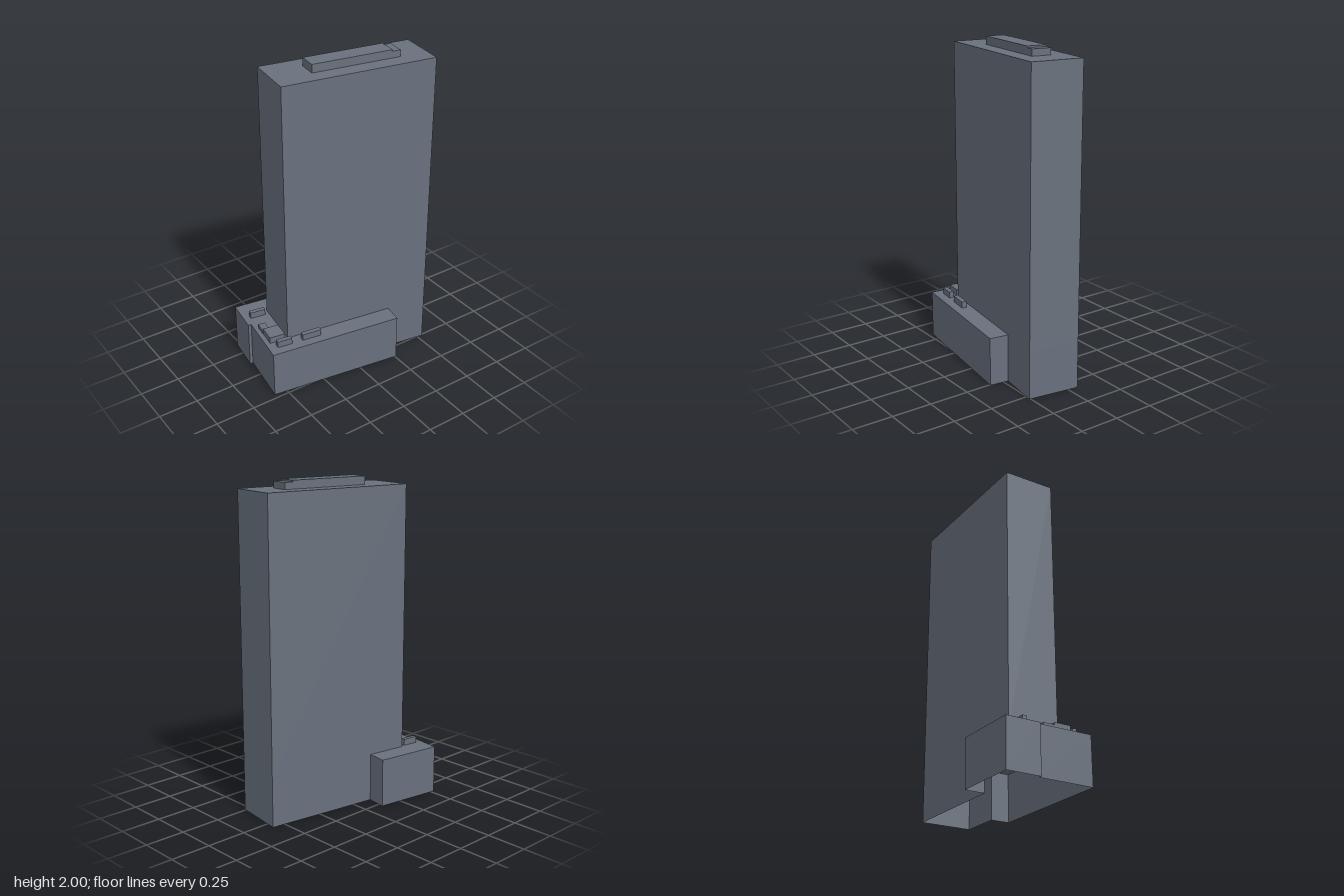
import * as THREE from 'three';

const material = new THREE.MeshStandardMaterial({
  color: 0x69717d, flatShading: true, side: THREE.DoubleSide,
});

// Corners of a rectangle, anticlockwise seen from above
const rect = (x0, x1, z0, z1) => [[x0, z0], [x0, z1], [x1, z1], [x1, z0]];

// Vertical walls along a closed outline of [x, z] corners
function walls(name, outline, y0, y1) {
  const positions = [];
  outline.forEach(([ax, az], i) => {
    const [bx, bz] = outline[(i + 1) % outline.length];
    positions.push(ax, y0, az, bx, y0, bz, bx, y1, bz, ax, y0, az, bx, y1, bz, ax, y1, az);
  });
  const geometry = new THREE.BufferGeometry();
  geometry.setAttribute('position', new THREE.Float32BufferAttribute(positions, 3));
  geometry.computeVertexNormals();
  const mesh = new THREE.Mesh(geometry, material);
  mesh.name = name;
  return mesh;
}

// Flat roof filling an outline
function roof(name, outline, y) {
  const shape = new THREE.Shape(outline.map(([x, z]) => new THREE.Vector2(x, -z)));
  const geometry = new THREE.ShapeGeometry(shape).rotateX(-Math.PI / 2).translate(0, y, 0);
  const mesh = new THREE.Mesh(geometry, material);
  mesh.name = name;
  return mesh;
}

// Walls plus roof, open underneath
function block(name, outline, y0, y1) {
  const group = new THREE.Group();
  group.name = name;
  group.add(walls(name + 'Walls', outline, y0, y1), roof(name + 'Roof', outline, y1));
  return group;
}

export function createModel() {
  const model = new THREE.Group();
  model.name = 'officeTower';
  const podiumTop = 0.3, towerTop = 1.95;

  // Podium edge wrapping round the left rear of the tower
  const frontEdge = [[-0.545, 0.299], [0.302, 0.299], [0.302, 0.18]];
  const rearEdge = [[-0.149, -0.143], [-0.149, -0.266], [-0.564, -0.266],
    [-0.564, -0.048], [-0.545, -0.048]];

  // Ground storeys: one wall around podium and tower together
  const ground = [...frontEdge, [0.566, 0.18], [0.566, -0.143], ...rearEdge];
  model.add(walls('groundWalls', ground, 0, podiumTop));

  // Podium terrace around the tower
  const terrace = [...frontEdge, [-0.399, 0.18], [-0.399, -0.143], ...rearEdge];
  model.add(roof('podiumTerrace', terrace, podiumTop));

  // Tower slab
  model.add(block('tower', rect(-0.399, 0.566, -0.143, 0.18), podiumTop, towerTop));

  // Plant rooms on the tower roof
  model.add(block('roofPlantRoom', rect(-0.168, 0.336, -0.04, 0.078), towerTop, 2));
  model.add(block('roofPlantAnnex', rect(0.336, 0.389, -0.04, 0.078), towerTop, 1.99));

  // Small service boxes on the podium: x range, z range, top
  [
    [-0.522, -0.424, -0.134, -0.107, 0.34],
    [-0.518, -0.474, 0.003, 0.078, 0.325],
    [-0.516, -0.418, 0.078, 0.182, 0.34],
    [-0.49, -0.396, 0.214, 0.242, 0.34],
    [-0.325, -0.202, 0.213, 0.243, 0.34],
  ].forEach(([x0, x1, z0, z1, top], i) => {
    model.add(block('serviceBox' + (i + 1), rect(x0, x1, z0, z1), podiumTop, top));
  });

  // The whole building stands turned on its plot
  model.rotation.y = -0.1415;
  const group = new THREE.Group();
  group.name = 'building';
  group.add(model);
  return group;
}
